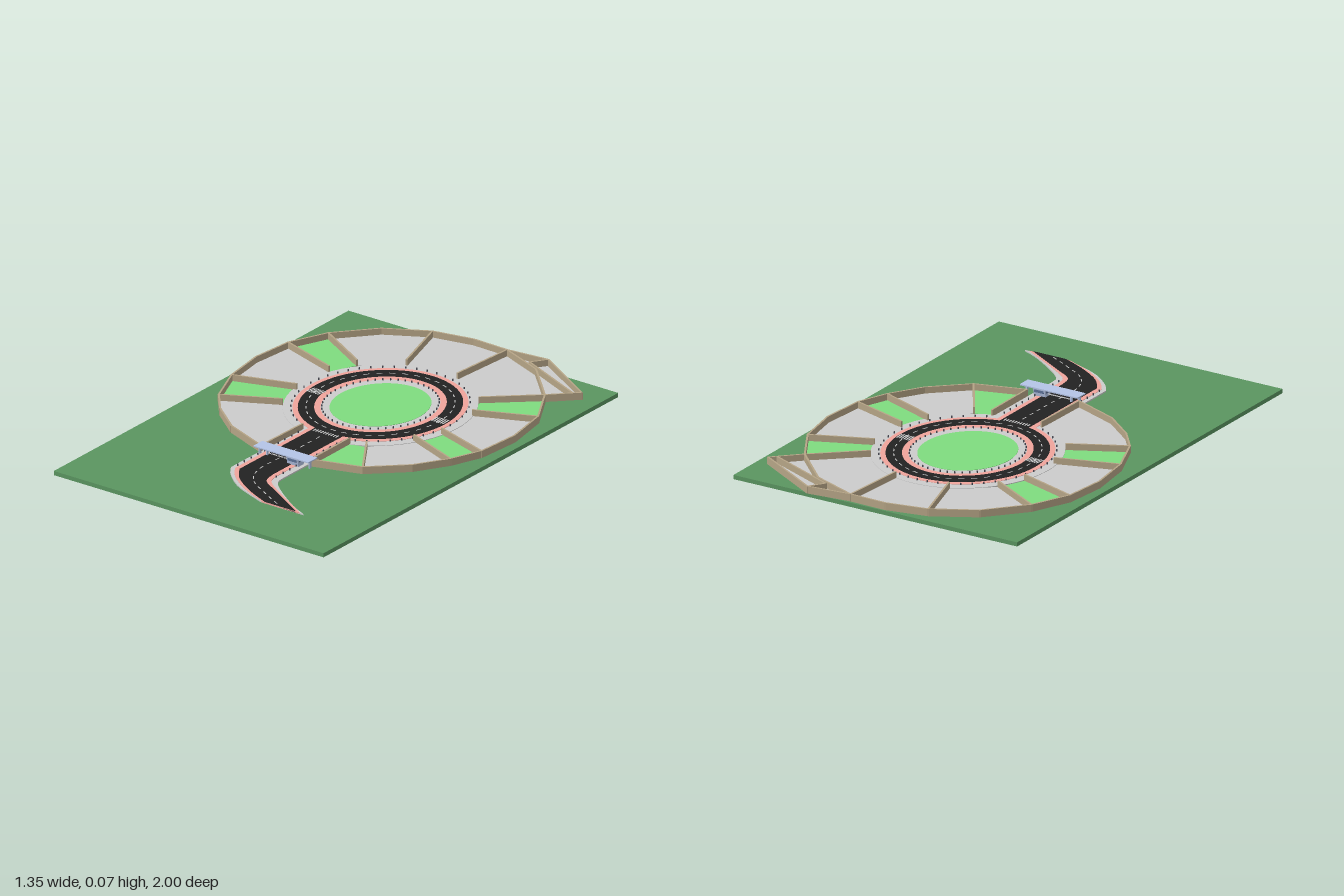
import * as THREE from 'three';
import { mergeGeometries } from 'three/addons/utils/BufferGeometryUtils.js';

const mat = (color) => new THREE.MeshStandardMaterial({ color, flatShading: true });
const GREY = mat(0xcccccc), FIELD = mat(0x5a9560), GRASS = mat(0x7fdc7f), PINK = mat(0xf0a49c),
  ASPHALT = mat(0x222222), WALL = mat(0xb5a486), WHITE = mat(0xe6e6e6), BLUE = mat(0xb4c4e6),
  GLASS = mat(0x5c7096), POST = mat(0x4a4a55);

// Outline of the walled estate, as [x, z]
const outline = [[-.11, .37], [-.32, .286], [-.46, .175], [-.545, .07], [-.62, -.116], [-.648, -.317],
  [-.63, -.508], [-.556, -.677], [-.413, -.84], [-.233, -.94], [-.053, -.977], [.116, -.973],
  [.323, -.89], [.503, -.709], [.608, -.524], [.645, -.317], [.63, -.116], [.577, .02],
  [.49, .16], [.344, .296], [.132, .36]];
// Plot dividers: outline index, inner end, and whether the plot that follows is grass
const dividers = [[0, -.105, .1, 0], [3, -.317, -.048, 1], [4, -.36, -.2, 0], [6, -.36, -.418, 1],
  [7, -.307, -.534, 0], [9, -.148, -.656, 0], [11, .095, -.672, 0], [13, .305, -.534, 1],
  [14, .36, -.418, 0], [16, .37, -.2, 1], [17, .32, -.08, 0], [19, .206, .085, 1], [20, .13, .1, 0]];
const CX = .004, CZ = -.277;

const ellipse = (rx, rz, n = 64) => Array.from({ length: n }, (_, i) => {
  const a = i / n * Math.PI * 2;
  return [CX + rx * Math.cos(a), CZ + rz * Math.sin(a)];
});
const vectors = (pts) => pts.map(([x, z]) => new THREE.Vector2(x, -z));

export function createModel() {
  const model = new THREE.Group();
  const add = (name, geometry, material) => {
    const mesh = new THREE.Mesh(geometry, material);
    mesh.name = name;
    model.add(mesh);
    return mesh;
  };
  // Flat slab from a plan outline, between two heights
  const slab = (name, pts, y0, y1, material, hole) => {
    const shape = new THREE.Shape(vectors(pts));
    if (hole) shape.holes.push(new THREE.Path(vectors(hole)));
    const g = new THREE.ExtrudeGeometry(shape, { depth: y1 - y0, bevelEnabled: false });
    add(name, g.rotateX(-Math.PI / 2).translate(0, y0, 0), material);
  };
  const box = (w, h, d, x, y, z, turn = 0) =>
    new THREE.BoxGeometry(w, h, d).rotateY(turn).translate(x, y, z);
  // Straight wall between two plan points
  const wall = (a, b) => {
    const dx = b[0] - a[0], dz = b[1] - a[1];
    return box(Math.hypot(dx, dz) + .006, .031, .008, (a[0] + b[0]) / 2, .0425, (a[1] + b[1]) / 2,
      Math.atan2(-dz, dx));
  };

  // Field
  add('field', box(1.35, .018, 1.97, 0, .009, .015), FIELD);

  // Plots and their walls
  const walls = [];
  dividers.forEach(([i, x, z, grass], k) => {
    walls.push(wall(outline[i], [x, z]));
    const next = dividers[k + 1];
    if (!next) return;
    slab(grass ? 'grassPlot' : 'pavedPlot',
      [...outline.slice(i, next[0] + 1), [next[1], next[2]], [x, z]], .027, .031, grass ? GRASS : GREY);
  });
  for (let i = 0; i < outline.length - 1; i++) walls.push(wall(outline[i], outline[i + 1]));

  // Annex plot at the back
  const annex = [outline[11], [.307, -.995], [.608, -.815], outline[13]];
  slab('annexPlot', [...annex, outline[12]], .027, .031, GREY);
  for (let i = 0; i < 3; i++) walls.push(wall(annex[i], annex[i + 1]));
  walls.push(wall([.307, -.995], [.262, -.93]), wall([.262, -.93], [.583, -.79]));
  add('walls', mergeGeometries(walls), WALL);

  // Ring road: pavement, cycle track, asphalt and central lawn
  slab('ringPavement', ellipse(.383, .408), .025, .033, GREY, ellipse(.19, .21));
  slab('ringCycleTrack', ellipse(.343, .37), .027, .0345, PINK, ellipse(.23, .257));
  slab('ringAsphalt', ellipse(.322, .348), .028, .036, ASPHALT, ellipse(.256, .283));
  slab('centralLawn', ellipse(.195, .22), .025, .0345, GRASS);

  // Entrance road, bending to one side at the front
  const sweep = (left, right) => {
    const side = (pts) => [pts[0], ...new THREE.SplineCurve(vectors(pts.slice(1))).getPoints(16)
      .map((v) => [v.x, -v.y])];
    return [...side(left), ...side(right).reverse()];
  };
  slab('entrancePavement', sweep(
    [[-.11, .06], [-.11, .57], [-.07, .625], [.026, .7], [.185, .765]],
    [[.122, .06], [.122, .53], [.132, .58], [.195, .64], [.317, .725], [.4, .766]]), .027, .033, GREY);
  slab('entranceCycleTrack', sweep(
    [[-.09, .05], [-.09, .57], [-.04, .635], [.06, .708], [.19, .766]],
    [[.092, .05], [.092, .53], [.108, .59], [.19, .651], [.38, .766]]), .028, .0345, PINK);
  slab('entranceAsphalt', sweep(
    [[-.068, .03], [-.068, .57], [-.01, .645], [.095, .715], [.205, .766]],
    [[.07, .03], [.07, .53], [.09, .6], [.185, .66], [.36, .766]]), .029, .036, ASPHALT);

  // Lane dashes
  const marks = [];
  const onRing = (a, rx, rz) => [CX + rx * Math.cos(a), CZ + rz * Math.sin(a)];
  for (let i = 0; i < 36; i++) {
    const a = i / 36 * Math.PI * 2, [x, z] = onRing(a, .289, .316);
    marks.push(box(.025, .001, .004, x, .0363, z, Math.atan2(-.316 * Math.cos(a), -.289 * Math.sin(a))));
  }
  const lane = new THREE.CatmullRomCurve3([[0, .11], [0, .3], [0, .54], [.05, .63], [.15, .695], [.27, .76]]
    .map(([x, z]) => new THREE.Vector3(x, .0363, z)));
  for (let i = 0; i < 15; i++) {
    const p = lane.getPointAt((i + .5) / 15), t = lane.getTangentAt((i + .5) / 15);
    marks.push(box(.025, .001, .004, p.x, p.y, p.z, Math.atan2(-t.z, t.x)));
  }
  // Zebra crossings: two on the ring, one at the entrance
  for (let i = 0; i < 6; i++) {
    const o = (i - 2.5) * .011;
    marks.push(box(.006, .0012, .045, -.279 + o, .0364, -.225, -.2));
    marks.push(box(.006, .0012, .045, .291 + o, .0364, -.293, .05));
  }
  for (let i = 0; i < 10; i++) marks.push(box(.006, .0012, .02, (i - 4.5) * .0125, .0364, .082));
  add('roadMarkings', mergeGeometries(marks), WHITE);

  // Bollards along the pavement edges
  const posts = [];
  const post = (x, z) => posts.push(new THREE.CylinderGeometry(.003, .003, .008, 6).translate(x, .038, z));
  for (let i = 0; i < 48; i++) {
    const a = i / 48 * Math.PI * 2;
    post(...onRing(a, .226, .252));
    if (Math.abs(a - Math.PI / 2) > .35) post(...onRing(a, .349, .376));
  }
  for (let z = .14; z < .56; z += .045) [-.095, .098].forEach((x) => post(x, z));
  add('bollards', mergeGeometries(posts), POST);

  // Gatehouse: canopy, flared booth with windows, barriers
  add('gateCanopy', box(.275, .005, .06, .0275, .0705, .39), BLUE);
  const booth = new THREE.BoxGeometry(.056, .036, .05);
  const p = booth.attributes.position;
  for (let i = 0; i < p.count; i++) if (p.getY(i) < 0) p.setZ(i, p.getZ(i) * .7);
  add('gateBooth', booth.translate(.078, .051, .39), BLUE);
  add('boothWindows', mergeGeometries([box(.044, .011, .05, .078, .057, .39),
    box(.058, .011, .03, .078, .057, .39)]), GLASS);
  add('gatePosts', mergeGeometries([-.1, -.062, .15].map((x) => box(.006, .036, .012, x, .051, .39))), BLUE);
  add('barriers', mergeGeometries([.045, .057].map((y) => box(.11, .003, .004, -.006, y, .39))), WHITE);
  add('barrierStruts', mergeGeometries([-.04, -.01, .02].map((x) => box(.004, .012, .004, x, .051, .39))), POST);

  return model;
}
